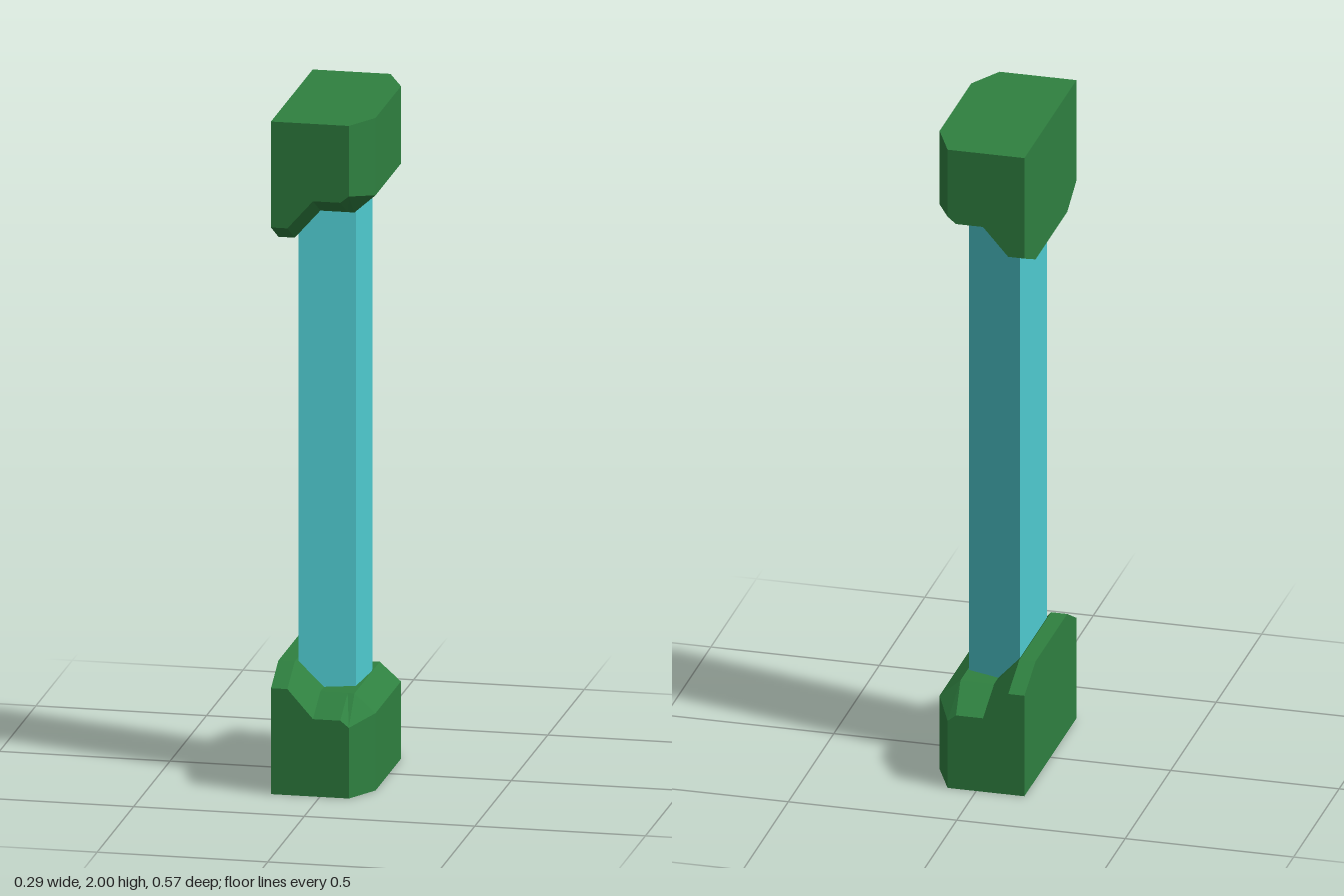
import * as THREE from 'three';

const GREEN = 0x2f8040, TEAL = 0x4fcbd0;

// Skin a row of equal-length point rings and close both ends
function loft(rings, flip) {
  const pos = [], n = rings[0].length;
  const tri = (a, b, c) => pos.push(...a, ...(flip ? [...c, ...b] : [...b, ...c]));
  for (let i = 0; i < rings.length - 1; i++) {
    for (let j = 0; j < n; j++) {
      const k = (j + 1) % n, A = rings[i], B = rings[i + 1];
      tri(A[j], A[k], B[k]);
      tri(A[j], B[k], B[j]);
    }
  }
  const first = rings[0], last = rings[rings.length - 1];
  for (let j = 1; j < n - 1; j++) {
    tri(first[0], first[j + 1], first[j]);
    tri(last[0], last[j], last[j + 1]);
  }
  const g = new THREE.BufferGeometry();
  g.setAttribute('position', new THREE.Float32BufferAttribute(pos, 3));
  g.computeVertexNormals();
  return g;
}

function makeMesh(name, geometry, color) {
  const mesh = new THREE.Mesh(geometry, new THREE.MeshStandardMaterial({ color, flatShading: true }));
  mesh.name = name;
  return mesh;
}

// Block with a stepped, bevelled rim; upsideDown mirrors it to the top
function capGeometry(upsideDown) {
  // outer x, outer y, inner x, inner y, outer z front, outer z back
  const stations = [
    [-0.143, 0.315, -0.143, 0.37, 0.286, -0.286],
    [-0.095, 0.315, -0.095, 0.37, 0.286, -0.286],
    [-0.02, 0.23, -0.02, 0.285, 0.286, -0.286],
    [0.06, 0.23, 0.06, 0.285, 0.286, -0.286],
    [0.085, 0.21, 0.08, 0.285, 0.286, -0.286],
    [0.142, 0.23, 0.142, 0.23, 0.185, -0.163],
  ];
  const y = (v) => (upsideDown ? 2 - v : v);
  const rings = stations.map(([xo, yo, xi, yi, zf, zb]) => [
    [xo, y(0), zb], [xo, y(yo), zb], [xi, y(yi), -0.163],
    [xi, y(yi), 0.185], [xo, y(yo), zf], [xo, y(0), zf],
  ]);
  return loft(rings, upsideDown);
}

export function createModel() {
  const model = new THREE.Group();
  model.name = 'column';

  model.add(makeMesh('baseBlock', capGeometry(false), GREEN));
  model.add(makeMesh('topBlock', capGeometry(true), GREEN));

  // Faceted shaft, tapering towards the +x side
  const outline = [[-0.09, 0.157], [0.067, 0.105], [0.078, -0.06], [0.075, -0.085], [-0.09, -0.14]];
  const shape = new THREE.Shape(outline.map(([x, z]) => new THREE.Vector2(x, -z)));
  const shaft = new THREE.ExtrudeGeometry(shape, { depth: 1.6, bevelEnabled: false });
  shaft.rotateX(-Math.PI / 2);
  shaft.translate(0, 0.2, 0);
  model.add(makeMesh('shaft', shaft, TEAL));

  return model;
}
